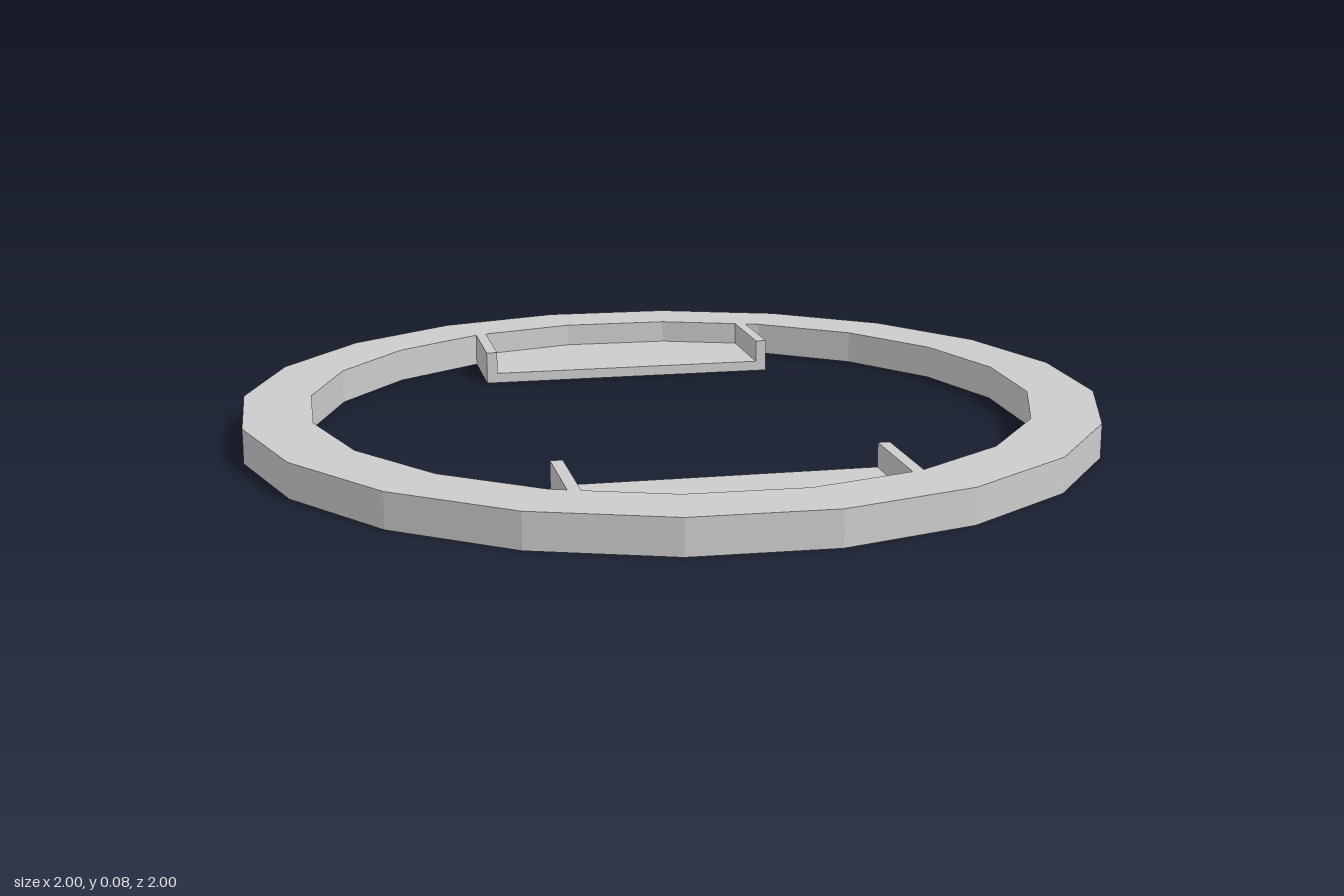
import * as THREE from 'three';

const SIDES = 20, PHASE = THREE.MathUtils.degToRad(10.5);
const OUTER = 1.0086, INNER = 0.85, HEIGHT = 0.08;
const TRAY_HALF = 0.372, WALL = 0.027, FLOOR = 0.025, TRAY_EDGE = 0.535;

const material = new THREE.MeshStandardMaterial({ color: 0xcccccc, flatShading: true });

// Corners of the 20-sided outline in plan (x, z)
function ringPoints(radius) {
  return Array.from({ length: SIDES }, (_, i) => {
    const a = PHASE + (i * Math.PI * 2) / SIDES;
    return new THREE.Vector2(radius * Math.cos(a), radius * Math.sin(a));
  });
}

// Plan outline raised from y = 0 to the given height
function slab(name, points, height, hole) {
  const shape = new THREE.Shape(points);
  if (hole) shape.holes.push(new THREE.Path(hole));
  const geometry = new THREE.ExtrudeGeometry(shape, { depth: height, bevelEnabled: false });
  geometry.rotateX(Math.PI / 2).translate(0, height, 0);
  const mesh = new THREE.Mesh(geometry, material);
  mesh.name = name;
  return mesh;
}

// Outline between the straight tray edge and the inner face of the ring
function trayOutline(x0, x1) {
  const inner = ringPoints(INNER).filter((p) => p.y > 0).sort((a, b) => a.x - b.x);
  const zAt = (x) => {
    const i = inner.findIndex((p) => p.x > x);
    const a = inner[i - 1], b = inner[i];
    return a.y + ((b.y - a.y) * (x - a.x)) / (b.x - a.x);
  };
  const between = inner.filter((p) => p.x > x0 && p.x < x1).reverse();
  return [
    new THREE.Vector2(x0, TRAY_EDGE),
    new THREE.Vector2(x1, TRAY_EDGE),
    new THREE.Vector2(x1, zAt(x1)),
    ...between,
    new THREE.Vector2(x0, zAt(x0)),
  ];
}

// Thin floor with a full-height wall at each end
function makeTray(name) {
  const tray = new THREE.Group();
  tray.name = name;
  const inside = TRAY_HALF - WALL;
  tray.add(
    slab('trayFloor', trayOutline(-inside, inside), FLOOR),
    slab('rightWall', trayOutline(-TRAY_HALF, -inside), HEIGHT),
    slab('leftWall', trayOutline(inside, TRAY_HALF), HEIGHT),
  );
  return tray;
}

export function createModel() {
  const model = new THREE.Group();
  model.name = 'ringWithTrays';
  model.add(slab('ring', ringPoints(OUTER), HEIGHT, ringPoints(INNER).reverse()));

  // Two trays facing each other across the ring
  const frontTray = makeTray('frontTray');
  const backTray = makeTray('backTray');
  backTray.rotation.y = Math.PI;
  model.add(frontTray, backTray);
  return model;
}
